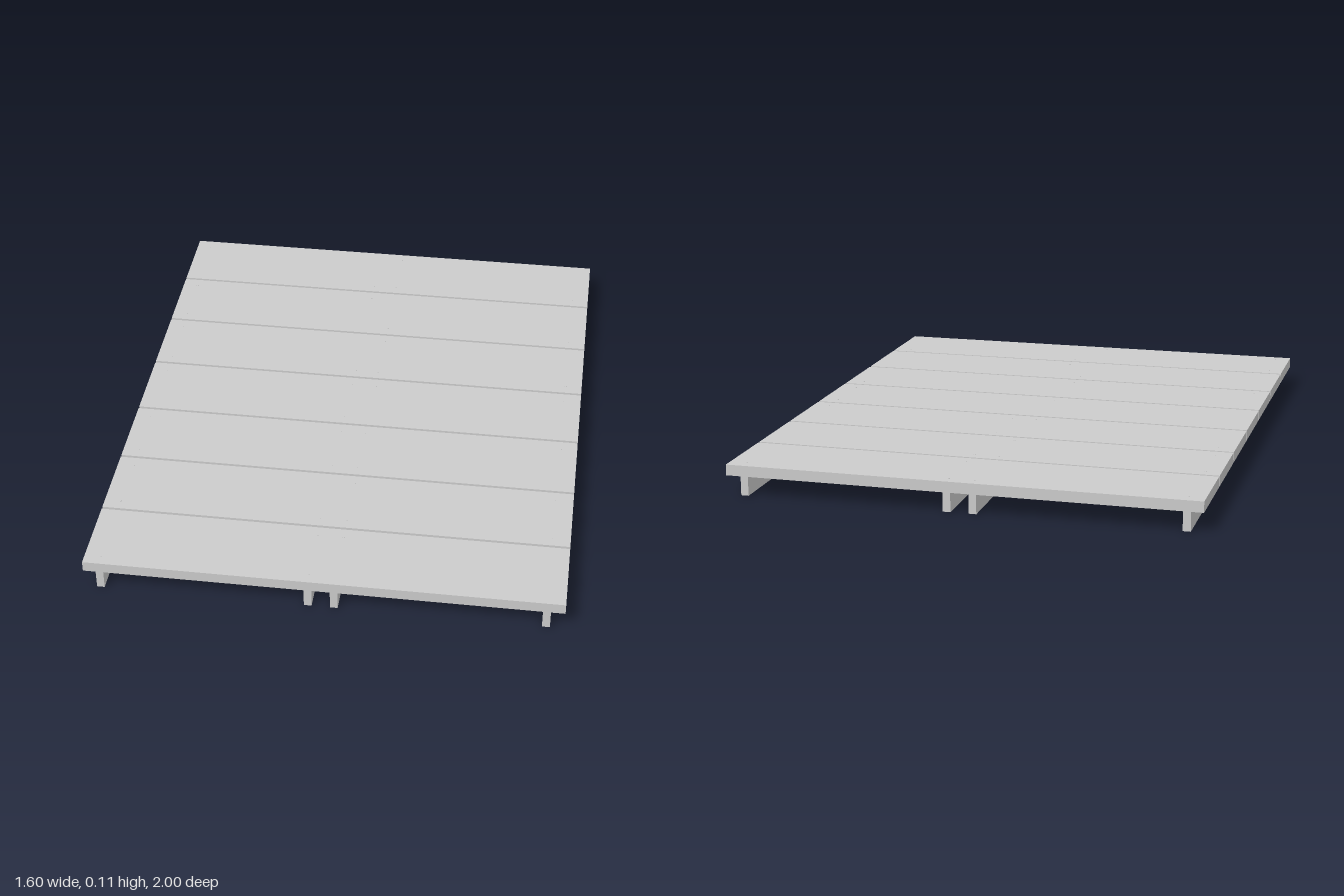
import * as THREE from 'three';

export function createModel() {
  const group = new THREE.Group();
  group.name = 'woodenPallet';
  const material = new THREE.MeshStandardMaterial({ color: 0xcccccc, flatShading: true });

  const width = 1.6, length = 2, top = 0.105, deckBottom = 0.068;
  const plankCount = 7, gap = 0.01;
  const plankDepth = (length - gap * (plankCount - 1)) / plankCount;
  const runnerXs = [-0.745, -0.046, 0.041, 0.74];

  const add = (name, geometry, x, y, z) => {
    const mesh = new THREE.Mesh(geometry, material);
    mesh.name = name;
    mesh.position.set(x, y, z);
    group.add(mesh);
  };

  // Runners under the deck, just short of its ends
  const runner = new THREE.BoxGeometry(0.026, deckBottom, 1.988);
  for (const x of runnerXs) add('runner', runner, x, deckBottom / 2, 0.003);

  // Deck planks, with two nail heads wherever a plank crosses a runner
  const plank = new THREE.BoxGeometry(width, top - deckBottom, plankDepth);
  const nail = new THREE.CylinderGeometry(0.004, 0.004, 0.002, 8);
  for (let i = 0; i < plankCount; i++) {
    const z = (i - (plankCount - 1) / 2) * (plankDepth + gap);
    add('deckPlank', plank, 0, (top + deckBottom) / 2, z);
    for (const x of runnerXs) {
      for (const side of [-1, 1]) {
        add('nailHead', nail, x, top - 0.0005, z + side * (plankDepth / 2 - 0.04));
      }
    }
  }
  return group;
}
